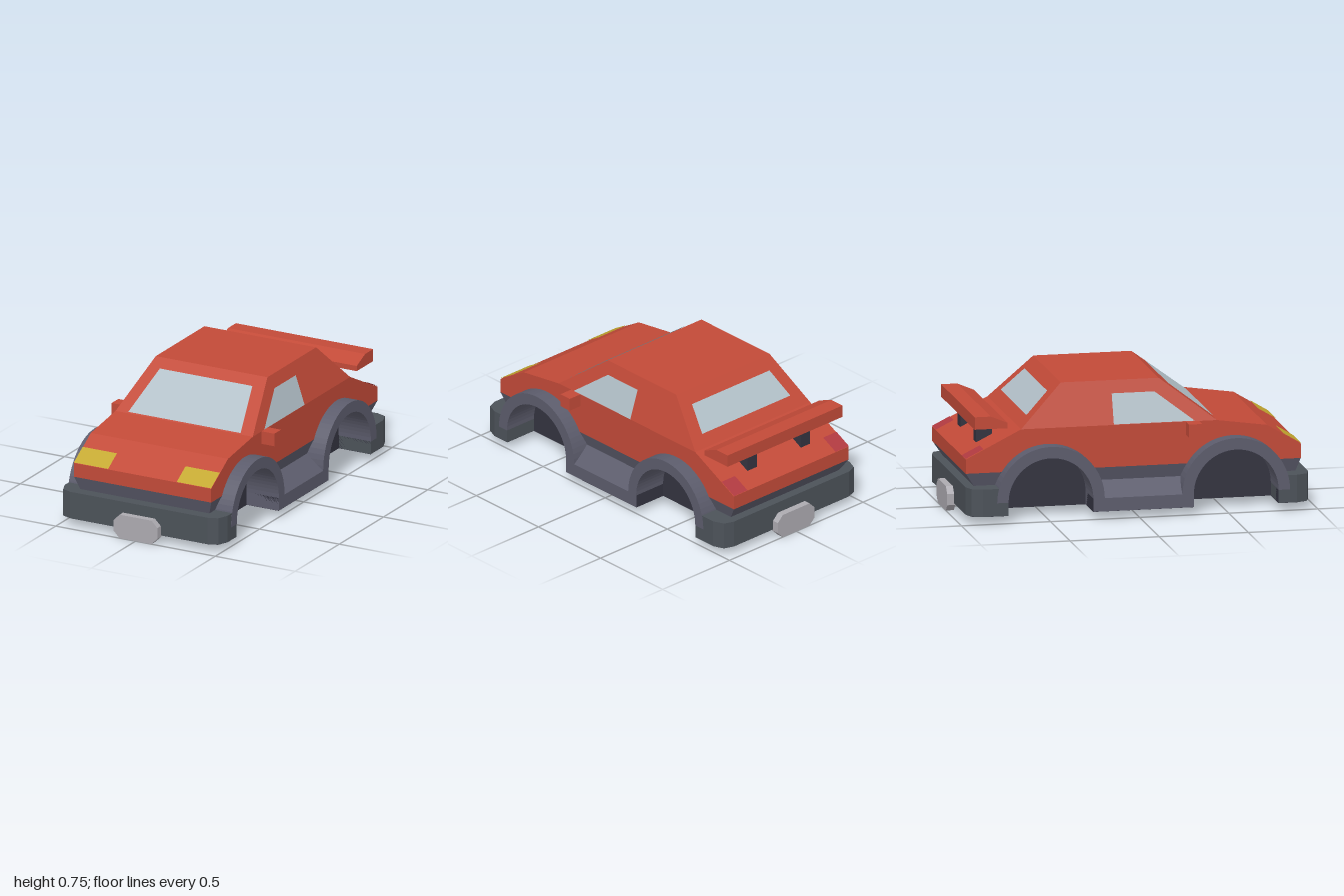
import * as THREE from 'three';

const material = (color, side = THREE.FrontSide) =>
  new THREE.MeshStandardMaterial({ color, flatShading: true, side });

const PAINT = material(0xc24a38);
const TRIM = material(0x5c5c6c);
const BUMPER = material(0x4c5259);
const DARK = material(0x333340);
const PLATE = material(0xacaab0);
const GLASS = material(0xb2c0c8, THREE.DoubleSide);
const YELLOW = material(0xc4a830, THREE.DoubleSide);
const TAIL = material(0xb03a40, THREE.DoubleSide);

const WHEELS = [-0.5, 0.54]; // z of the wheel arches
const ARCH_Y = 0.12, ARCH_IN = 0.238, ARCH_OUT = 0.302;
const WELL_X = 0.31, WIDE = 0.51, BODY_X = 0.43;

const shapeOf = (points) => new THREE.Shape(points.map(([a, b]) => new THREE.Vector2(a, b)));

// Side outline (z, y) extruded across x
function extrudeSide(shape, x0, x1) {
  const g = new THREE.ExtrudeGeometry(shape, { depth: x1 - x0, bevelEnabled: false, curveSegments: 16 });
  return g.rotateY(-Math.PI / 2).translate(x1, 0, 0);
}

// Plan outline (x, z) extruded up y
function extrudePlan(points, y0, y1) {
  const g = new THREE.ExtrudeGeometry(shapeOf(points), { depth: y1 - y0, bevelEnabled: false });
  return g.rotateX(Math.PI / 2).translate(0, y1, 0);
}

// Box with different bottom and top rectangles, each [x0, x1, z0, z1]
function taperedBox(y0, low, y1, high) {
  const g = new THREE.BoxGeometry(1, 1, 1);
  const p = g.attributes.position;
  for (let i = 0; i < p.count; i++) {
    const up = p.getY(i) > 0, r = up ? high : low;
    p.setXYZ(i, r[p.getX(i) > 0 ? 1 : 0], up ? y1 : y0, r[p.getZ(i) > 0 ? 3 : 2]);
  }
  g.computeVertexNormals();
  return g;
}

const block = (x0, x1, y0, y1, z0, z1) => taperedBox(y0, [x0, x1, z0, z1], y1, [x0, x1, z0, z1]);

// Flat panel lifted slightly off the surface; corners counter-clockwise from outside
function panel(corners) {
  const [a, b, c, d] = corners.map((v) => new THREE.Vector3(...v));
  const n = b.clone().sub(a).cross(c.clone().sub(a)).normalize().multiplyScalar(0.004);
  const g = new THREE.BufferGeometry().setFromPoints([a, b, c, a, c, d].map((v) => v.clone().add(n)));
  g.computeVertexNormals();
  return g;
}

// Half plan outline on +x completed by its mirror image
const mirrored = (half) => [...half, ...half.map(([x, z]) => [-x, z]).reverse()];

export function createModel() {
  const car = new THREE.Group();
  car.name = 'car';
  const add = (name, geometry, mat) => {
    const mesh = new THREE.Mesh(geometry, mat);
    mesh.name = name;
    car.add(mesh);
  };

  // Painted lower shell with wheel arch cut-outs
  const shell = new THREE.Shape();
  shell.moveTo(-0.96, 0.275);
  const a = Math.asin((0.275 - ARCH_Y) / 0.27);
  for (const z of WHEELS) {
    shell.lineTo(z - 0.27 * Math.cos(a), 0.275);
    shell.absarc(z, ARCH_Y, 0.27, Math.PI - a, a, true);
  }
  for (const [z, y] of [[0.92, 0.275], [0.92, 0.355], [0.73, 0.47], [0.45, 0.51], [-0.65, 0.51], [-0.96, 0.355]])
    shell.lineTo(z, y);
  add('bodyShell', extrudeSide(shell, -BODY_X, BODY_X), PAINT);

  // Cabin
  add('cabin', taperedBox(0.51, [-BODY_X, BODY_X, -0.65, 0.45], 0.745, [-0.35, 0.35, -0.41, 0.14]), PAINT);

  // Tapered lower body, in three pieces between the wheels
  const cut = 0.235;
  const lower = [
    ['rearValance', [-0.91, WHEELS[0] - cut], [-0.96, WHEELS[0] - cut]],
    ['sideValance', [WHEELS[0] + cut, WHEELS[1] - cut], [WHEELS[0] + cut, WHEELS[1] - cut]],
    ['frontValance', [WHEELS[1] + cut, 0.895], [WHEELS[1] + cut, 0.92]],
  ];
  for (const [name, lo, hi] of lower)
    add(name, taperedBox(0.2, [-0.405, 0.405, ...lo], 0.275, [-BODY_X, BODY_X, ...hi]), TRIM);

  // Floor plate notched at the wheels
  const notches = [...WHEELS].reverse().flatMap((z) => [
    [WIDE, z + ARCH_IN], [WELL_X, z + ARCH_IN], [WELL_X, z - ARCH_IN], [WIDE, z - ARCH_IN],
  ]);
  const nose = [[0.43, 0.96], [0.485, 0.94], [WIDE, 0.88]];
  const tail = nose.map(([x, z]) => [x, -z]).reverse();
  add('floorPlate', extrudePlan(mirrored([...nose, ...notches, ...tail]), 0.045, ARCH_Y), DARK);

  // Bumpers, just proud of the floor plate
  const grow = ([x, z]) => [x + 0.001, z + Math.sign(z) * 0.001];
  add('frontBumper', extrudePlan(mirrored([...nose.map(grow), [WIDE + 0.001, WHEELS[1] + ARCH_IN]]), 0.046, 0.2), BUMPER);
  add('rearBumper', extrudePlan(mirrored([[WIDE + 0.001, WHEELS[0] - ARCH_IN], ...tail.map(grow)]), 0.046, 0.2), BUMPER);

  // Sills: upright edge and sloped top
  const sillZ = [WHEELS[0] + ARCH_IN, WHEELS[1] - ARCH_IN];
  add('sillEdge', block(-WIDE - 0.001, WIDE + 0.001, 0.046, ARCH_Y, ...sillZ), TRIM);
  add('sillTop', taperedBox(ARCH_Y, [-WIDE, WIDE, ...sillZ], 0.2, [-0.405, 0.405, ...sillZ]), TRIM);

  // Inner walls of the wheel wells
  add('wheelWellCore', block(-WELL_X, WELL_X, 0.1, 0.42, -0.76, 0.8), DARK);

  // Octagonal plates on both bumpers
  const octagon = shapeOf([[-0.1, 0], [0.1, 0], [0.137, 0.037], [0.137, 0.1],
    [0.1, 0.137], [-0.1, 0.137], [-0.137, 0.1], [-0.137, 0.037]]);
  for (const [name, z] of [['frontPlate', 0.955], ['rearPlate', -1]])
    add(name, new THREE.ExtrudeGeometry(octagon, { depth: 0.045, bevelEnabled: false }).translate(0, 0, z), PLATE);

  // Windscreen and rear window
  add('windscreen', panel([[-0.352, 0.514, 0.445], [0.352, 0.514, 0.445], [0.29, 0.7, 0.2], [-0.29, 0.7, 0.2]]), GLASS);
  add('rearWindow', panel([[0.33, 0.564, -0.595], [-0.33, 0.564, -0.595], [-0.29, 0.686, -0.47], [0.29, 0.686, -0.47]]), GLASS);

  // Parts repeated on each side
  for (const s of [1, -1]) {
    const side = s > 0 ? 'left' : 'right';
    const span = (x0, x1) => (s > 0 ? [x0, x1] : [-x1, -x0]);
    const sidePanel = (pts) => {
      const m = pts.map(([x, y, z]) => [s * x, y, z]);
      return panel(s > 0 ? m : m.reverse());
    };

    // Wheel arch flares
    WHEELS.forEach((z, i) => {
      const arch = new THREE.Shape();
      arch.absarc(z, ARCH_Y, ARCH_OUT, 0, Math.PI, false);
      arch.absarc(z, ARCH_Y, ARCH_IN, Math.PI, 0, true);
      add(`${side}${i ? 'Front' : 'Rear'}Arch`, extrudeSide(arch, ...span(WELL_X - 0.01, WIDE + 0.002)), TRIM);
    });

    // Side window, following the slope of the cabin
    const inset = (y) => BODY_X - 0.08 * (y - 0.51) / 0.235;
    add(`${side}Window`, sidePanel([[0.325, 0.512], [-0.13, 0.512], [-0.13, 0.675], [0.11, 0.675]]
      .map(([z, y]) => [inset(y), y, z])), GLASS);

    // Mirror
    add(`${side}Mirror`, block(...span(0.42, WIDE), 0.437, 0.51, 0.275, 0.35), PAINT);

    // Lamps
    add(`${side}Headlight`, sidePanel([[0.215, 0.355, 0.92], [BODY_X, 0.355, 0.92],
      [BODY_X, 0.415, 0.82], [0.215, 0.415, 0.82]]), YELLOW);
    add(`${side}TailLight`, sidePanel([[BODY_X, 0.355, -0.96], [0.33, 0.355, -0.96],
      [0.33, 0.405, -0.86], [BODY_X, 0.405, -0.86]]), TAIL);

    // Spoiler strut
    add(`${side}SpoilerStrut`, block(...span(0.165, 0.235), 0.4, 0.53, -0.86, -0.77), DARK);
  }

  // Spoiler wing
  const wing = shapeOf([[-0.725, 0.52], [-0.725, 0.55], [-0.82, 0.59], [-0.91, 0.59], [-0.91, 0.52]]);
  add('spoilerWing', extrudeSide(wing, -BODY_X, BODY_X), PAINT);

  return car;
}
